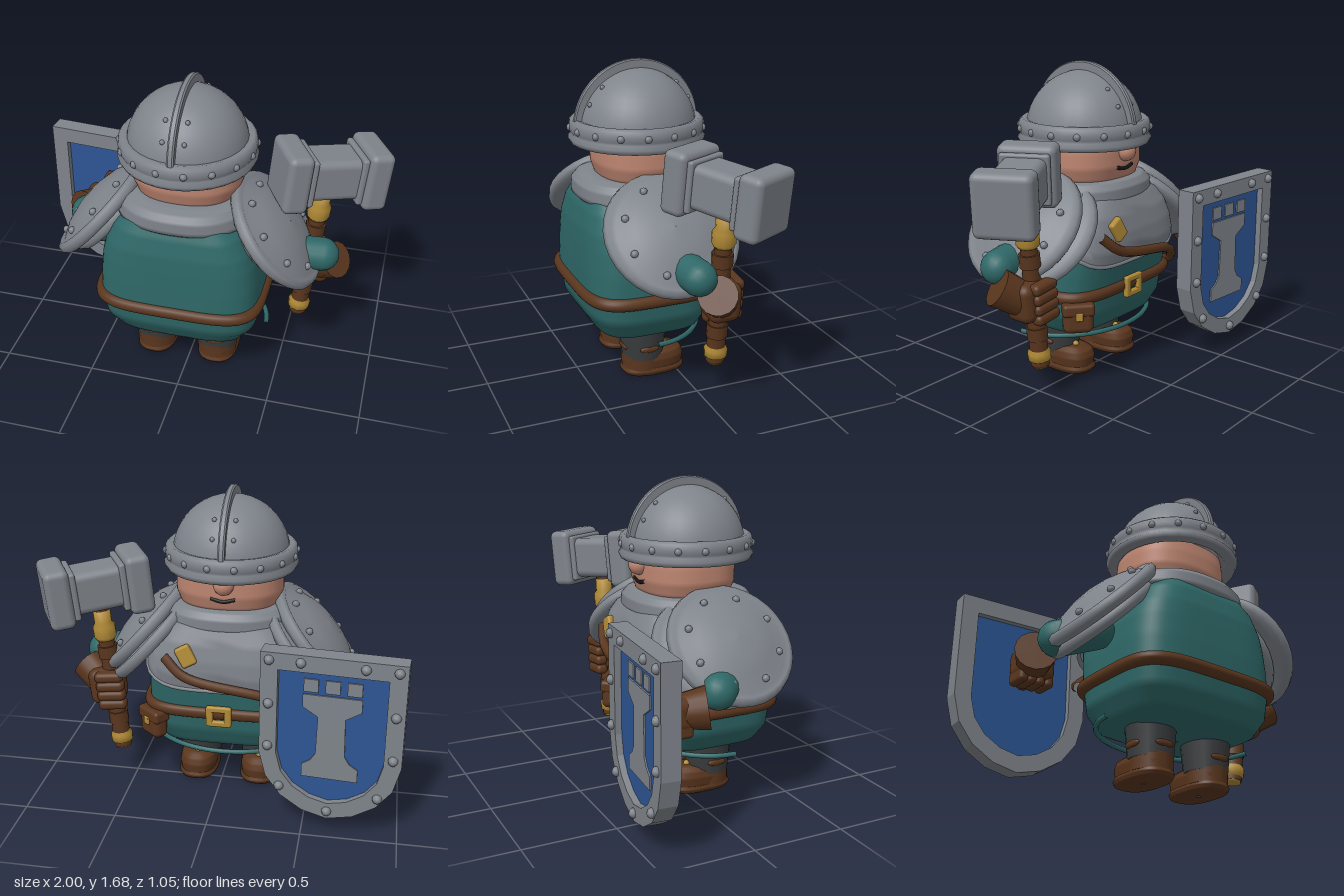
import * as THREE from 'three';
import { RoundedBoxGeometry } from 'three/addons/geometries/RoundedBoxGeometry.js';
import { ParametricGeometry } from 'three/addons/geometries/ParametricGeometry.js';

const colour = (name, hex, side = THREE.FrontSide) => {
  const m = new THREE.MeshStandardMaterial({ color: hex, side });
  m.name = name;
  return m;
};
const steel = colour('steel', 0x7f848b, THREE.DoubleSide);
const teal = colour('teal cloth', 0x2f6868);
const brown = colour('brown leather', 0x5a361e);
const skin = colour('skin', 0xbf8671);
const gold = colour('gold', 0xb08a36);
const blue = colour('blue', 0x2d5594, THREE.DoubleSide);
const grey = colour('dark trousers', 0x393c3e);
const black = colour('black', 0x151515);

const V = (x, y, z) => new THREE.Vector3(x, y, z);
const UP = V(0, 1, 0);

function part(parent, name, geo, mat, pos = [0, 0, 0], rot = [0, 0, 0], scale = [1, 1, 1]) {
  const m = new THREE.Mesh(geo, mat);
  m.name = name;
  m.position.set(...pos);
  m.rotation.set(...rot);
  m.scale.set(...scale);
  parent.add(m);
  return m;
}
function group(parent, name, pos = [0, 0, 0], rot = [0, 0, 0]) {
  const g = new THREE.Group();
  g.name = name;
  g.position.set(...pos);
  g.rotation.set(...rot);
  parent.add(g);
  return g;
}
const box = (w, h, d, r = 0.02) => new RoundedBoxGeometry(w, h, d, 3, r);
const ball = (r) => new THREE.SphereGeometry(r, 16, 12);
const lathe = (pts, seg = 32) => new THREE.LatheGeometry(pts.map(p => new THREE.Vector2(...p)), seg);
const rivet = (parent, pos, r = 0.02) => part(parent, 'rivet', new THREE.SphereGeometry(r, 8, 6), steel, pos);
const tube = (pts, r, seg = 32) => new THREE.TubeGeometry(new THREE.CatmullRomCurve3(pts), seg, r, 8);
// tapered limb between two points, rounded when the radii are equal
function limb(parent, name, a, b, r0, r1, mat) {
  const d = b.clone().sub(a), len = d.length();
  const geo = r0 === r1 ? new THREE.CapsuleGeometry(r0, len, 6, 16) : new THREE.CylinderGeometry(r1, r0, len, 16);
  const m = part(parent, name, geo, mat, a.clone().add(b).multiplyScalar(0.5).toArray());
  m.quaternion.setFromUnitVectors(UP, d.normalize());
}

// superellipse sections: [y, half width, half depth, centre z]
function section(rings, a, y, off, n) {
  let i = 0;
  while (i < rings.length - 2 && y > rings[i + 1][0]) i++;
  const [p, q] = [rings[i], rings[i + 1]];
  const t = THREE.MathUtils.clamp((y - p[0]) / (q[0] - p[0]), 0, 1);
  const mix = k => p[k] + (q[k] - p[k]) * t;
  const f = v => Math.sign(v) * Math.abs(v) ** (2 / n);
  return V((mix(1) + off) * f(Math.sin(a)), y, mix(3) - (mix(2) + off) * f(Math.cos(a)));
}
const loft = (rings, n) => new ParametricGeometry((u, v, t) => {
  const k = v * (rings.length - 1), i = Math.min(Math.floor(k), rings.length - 2);
  const y = rings[i][0] + (rings[i + 1][0] - rings[i][0]) * (k - i);
  t.copy(section(rings, -u * Math.PI * 2 + 0.01, y, 0, n));
}, 64, (rings.length - 1) * 3);

const BODY = [[0.245, 0.01, 0.01, 0.15], [0.255, 0.28, 0.21, 0.15], [0.29, 0.37, 0.28, 0.15], [0.37, 0.42, 0.325, 0.155],
  [0.5, 0.435, 0.345, 0.155], [0.62, 0.433, 0.355, 0.145], [0.75, 0.42, 0.365, 0.13], [0.83, 0.4, 0.36, 0.13],
  [0.93, 0.355, 0.34, 0.13], [1.0, 0.29, 0.31, 0.13], [1.04, 0.2, 0.22, 0.13]];
const onBody = (a, y, off) => section(BODY, a, y, off, 4.2);

function makeTorso(g) {
  part(g, 'tunic', loft(BODY, 4.2), teal);
  part(g, 'belt', new ParametricGeometry((u, v, t) =>
    t.copy(onBody(-u * Math.PI * 2 + 0.01, 0.47 + 0.07 * v, 0.03 * Math.sin(Math.PI * v) ** 0.4)), 64, 8), brown);
  part(g, 'hemRope', tube(Array.from({ length: 13 }, (_, i) => {
    const a = Math.PI * i / 12;
    return V(-0.455 * Math.cos(a), 0.27, 0.19 - 0.37 * Math.sin(a));
  }), 0.014), teal);
  // breastplate with a rounded lower edge
  const low = k => 0.66 + 0.2 * k * k;
  part(g, 'breastplate', new ParametricGeometry((u, v, t) => {
    const k = 1 - 2 * u, y = low(k) + (1.02 - low(k)) * v;
    t.copy(onBody(k * 1.6, y, 0.022));
  }, 32, 12), steel);
  part(g, 'breastplateEdge', tube(Array.from({ length: 17 }, (_, i) => {
    const k = i / 8 - 1;
    return onBody(k * 1.6, low(k), 0.02);
  }), 0.012), steel);
  part(g, 'collar', loft([[0.96, 0.33, 0.315, 0.13], [0.98, 0.365, 0.335, 0.13], [1.04, 0.355, 0.335, 0.13],
    [1.075, 0.32, 0.31, 0.13], [1.085, 0.27, 0.26, 0.13], [1.087, 0.2, 0.2, 0.13]], 2.4), steel);
  // chest strap and buckles
  part(g, 'chestStrap', tube([onBody(0.5, 0.84, 0.03), onBody(0.15, 0.75, 0.04), onBody(-0.3, 0.65, 0.045),
    onBody(-0.8, 0.55, 0.035), onBody(-1.2, 0.5, 0.03)], 0.027), brown);
  part(g, 'strapBuckle', box(0.085, 0.115, 0.04, 0.015), gold, [0.18, 0.86, -0.25], [0.12, 0, -0.5]);
  const buckle = group(g, 'beltBuckle', [0.01, 0.505, -0.222]);
  for (const s of [-1, 1]) {
    part(buckle, 'buckleSide', box(0.038, 0.115, 0.03, 0.01), gold, [s * 0.05, 0, 0]);
    part(buckle, 'buckleBar', box(0.13, 0.034, 0.03, 0.01), gold, [0, s * 0.042, 0]);
  }
  const pouch = group(g, 'pouch', [0.385, 0.41, -0.15], [0, -0.7, 0]);
  part(pouch, 'pouchBag', box(0.16, 0.16, 0.09, 0.035), brown);
  part(pouch, 'pouchFlap', box(0.17, 0.07, 0.1, 0.02), brown, [0, 0.05, 0]);
  part(pouch, 'pouchClasp', box(0.04, 0.045, 0.014, 0.005), gold, [0, 0.02, -0.05]);
}

function makeHead(g) {
  part(g, 'head', loft([[1.03, 0.22, 0.2, 0.11], [1.08, 0.265, 0.235, 0.105], [1.14, 0.288, 0.255, 0.105],
    [1.22, 0.288, 0.257, 0.105], [1.3, 0.28, 0.25, 0.105]], 2.4), skin);
  part(g, 'nose', ball(0.054), skin, [-0.005, 1.23, -0.155]);
  part(g, 'mouth', tube([V(-0.065, 1.15, -0.147), V(0, 1.137, -0.152), V(0.065, 1.15, -0.145)], 0.01, 12), black);
  const h = group(g, 'helmet', [0, 0, 0.125]);
  part(h, 'dome', new THREE.SphereGeometry(0.315, 32, 12, 0, Math.PI * 2, 0, Math.PI / 2), steel, [0, 1.32, 0]);
  part(h, 'rim', lathe([[0.26, 1.3], [0.3, 1.255], [0.35, 1.255], [0.362, 1.28], [0.345, 1.3], [0.353, 1.315],
    [0.357, 1.34], [0.352, 1.37], [0.335, 1.385], [0.3, 1.375]]), steel);
  const arc = new THREE.Shape().absarc(0, 0, 0.34, 0.05, Math.PI - 0.05, false);
  arc.absarc(0, 0, 0.29, Math.PI - 0.05, 0.05, true);
  part(h, 'crest', new THREE.ExtrudeGeometry(arc, { depth: 0.02, bevelSize: 0.006, bevelThickness: 0.008, bevelSegments: 1, curveSegments: 24 }),
    steel, [-0.01, 1.335, 0], [0, Math.PI / 2, 0]);
  for (let i = 0; i < 16; i++) {
    const a = (i + 0.5) * Math.PI / 8;
    rivet(h, [0.35 * Math.sin(a), 1.335, 0.35 * Math.cos(a)]);
  }
  for (const s of [-1, 1]) for (const t of [0.5, 0.85, 2.29, 2.64])
    rivet(h, [s * 0.055, 1.32 + 0.31 * Math.sin(t), 0.31 * Math.cos(t)], 0.013);
}

function makeShoulder(g, s) {
  const pad = (name, x, y, z, k) => {
    const p = group(g, name, [s * x, y, z], [0, 0, -s * 0.84]);
    p.scale.setScalar(k);
    part(p, 'plate', lathe([[0, 0.0], [0.28, -0.045], [0.32, -0.045], [0.342, -0.02], [0.335, 0.01], [0.31, 0.022],
      [0.285, 0.014], [0.2, 0.055], [0.1, 0.078], [0.001, 0.086]]), steel);
    for (let i = 0; i < 8; i++) {
      const a = (i + 0.5) * Math.PI / 4;
      rivet(p, [0.245 * Math.cos(a), 0.036, 0.245 * Math.sin(a)]);
    }
  };
  pad('shoulderPad', 0.485, 0.885, 0.135, 1);
  pad('innerShoulderPad', 0.43, 0.85, 0.06, 0.95);
}

function makeLeg(g, s) {
  const l = group(g, s > 0 ? 'leftLeg' : 'rightLeg', [s * 0.178, 0, 0]);
  part(l, 'trouserLeg', new THREE.CylinderGeometry(0.135, 0.115, 0.22, 16), grey, [0, 0.21, 0.17]);
  part(l, 'bootAnkle', new THREE.CylinderGeometry(0.112, 0.11, 0.09, 16), brown, [0, 0.08, 0.175]);
  part(l, 'bootFoot', loft([[0.035, 0.1, 0.165, 0.115], [0.08, 0.108, 0.17, 0.113], [0.115, 0.1, 0.16, 0.113],
    [0.135, 0.075, 0.13, 0.115], [0.14, 0.01, 0.01, 0.12]], 2.6), brown);
  part(l, 'bootSole', loft([[0, 0.01, 0.01, 0.115], [0.002, 0.105, 0.165, 0.115], [0.02, 0.113, 0.177, 0.115],
    [0.038, 0.108, 0.17, 0.115], [0.04, 0.01, 0.01, 0.115]], 2.6), brown);
  part(l, 'bootStud', ball(0.018), gold, [0, 0.14, 0.045]);
  part(l, 'backPatch', ball(0.05), brown, [0, 0.165, 0.28], [0, 0, 0], [1.1, 0.4, 0.3]);
  part(l, 'sidePatch', ball(0.05), brown, [s * 0.112, 0.165, 0.17], [0, 0, 0], [0.3, 0.4, 1.1]);
}

function makeHammer(root) {
  const shaft = group(root, 'hammerHandle', [0.605, 0.6, -0.07], [0, 0, -0.11]);
  part(shaft, 'shaft', new THREE.CylinderGeometry(0.042, 0.05, 0.9, 12), brown, [0, 0.05, 0]);
  for (const y of [-0.22, 0.18]) part(shaft, 'grip', new THREE.CylinderGeometry(0.055, 0.055, 0.07, 12), brown, [0, y, 0]);
  part(shaft, 'pommel', lathe([[0, -0.41], [0.045, -0.41], [0.045, -0.39], [0.035, -0.385], [0.06, -0.37], [0.062, -0.33],
    [0.048, -0.31], [0.048, -0.28], [0, -0.28]], 12), gold);
  part(shaft, 'topCap', lathe([[0, 0.25], [0.05, 0.25], [0.062, 0.27], [0.062, 0.33], [0.048, 0.35], [0.048, 0.42], [0, 0.42]], 12), gold);
  const h = group(root, 'hammerHead', [0.68, 1.15, -0.055], [0, 0.49, -0.1]);
  part(h, 'core', box(0.42, 0.23, 0.23, 0.04), steel);
  for (const s of [-1, 1]) {
    part(h, 'strikingBlock', box(0.135, 0.325, 0.305, 0.035), steel, [s * 0.217, 0, 0]);
    part(h, 'coreCollar', box(0.035, 0.265, 0.26, 0.014), steel, [s * 0.135, 0, 0]);
  }
}

function makeArms(root) {
  // arm that grips the hammer
  const r = group(root, 'hammerArm');
  limb(r, 'sleeve', V(0.5, 0.74, 0.12), V(0.69, 0.725, 0.085), 0.09, 0.09, teal);
  limb(r, 'gauntletCuff', V(0.765, 0.655, 0.02), V(0.65, 0.57, -0.05), 0.1, 0.09, brown);
  part(r, 'fist', box(0.19, 0.21, 0.17, 0.05), brown, [0.635, 0.575, -0.06], [0, 0, -0.11]);
  for (let i = 0; i < 4; i++)
    part(r, 'finger', box(0.16, 0.058, 0.07, 0.025), brown, [0.588 + i * 0.006, 0.49 + i * 0.054, -0.14], [0, 0, -0.11]);
  // arm that carries the shield
  const l = group(root, 'shieldArm');
  limb(l, 'sleeve', V(-0.52, 0.73, 0.12), V(-0.66, 0.7, -0.02), 0.095, 0.095, teal);
  limb(l, 'gauntletCuff', V(-0.72, 0.65, -0.11), V(-0.66, 0.63, -0.24), 0.11, 0.085, brown);
  part(l, 'fist', box(0.21, 0.17, 0.16, 0.05), brown, [-0.65, 0.63, -0.26]);
  for (let i = 0; i < 4; i++)
    part(l, 'finger', box(0.05, 0.08, 0.13, 0.022), brown, [-0.725 + i * 0.05, 0.555, -0.26]);
  part(l, 'shieldGrip', box(0.06, 0.22, 0.08, 0.02), brown, [-0.64, 0.65, -0.35]);
}

function shieldOutline(w, top, side, bottom, Type) {
  const h = side - bottom, half = [[w, top], [w, side], [w * 0.9, side - h * 0.4], [w * 0.68, side - h * 0.7], [w * 0.36, side - h * 0.91]];
  const pts = [...half, [0, bottom], ...half.map(([x, y]) => [-x, y]).reverse()];
  return new Type(pts.map(p => new THREE.Vector2(...p)));
}
function makeShield(root) {
  const g = group(root, 'shield', [-0.635, 0, -0.415], [0, -0.09, 0]);
  const frame = shieldOutline(0.365, 1.0, 0.44, 0.09, THREE.Shape);
  frame.holes.push(shieldOutline(0.275, 0.91, 0.44, 0.18, THREE.Path));
  part(g, 'shieldFrame', new THREE.ExtrudeGeometry(frame, { depth: 0.1, bevelEnabled: false }), steel, [0, 0, -0.05]);
  part(g, 'shieldPanel', new THREE.ExtrudeGeometry(shieldOutline(0.285, 0.92, 0.44, 0.17, THREE.Shape),
    { depth: 0.03, bevelEnabled: false }), blue, [0, 0, -0.015]);
  // tower device on the panel
  const half = [[0.15, 0.78], [0.15, 0.71], [0.07, 0.66], [0.075, 0.45], [0.1, 0.41], [0.145, 0.38], [0.145, 0.31]];
  const shapes = [half.concat(half.map(([x, y]) => [-x, y]).reverse())];
  for (const x of [-0.11, 0, 0.11]) shapes.push([[x - 0.037, 0.795], [x + 0.037, 0.795], [x + 0.037, 0.865], [x - 0.037, 0.865]]);
  for (const s of shapes)
    part(g, 'towerDevice', new THREE.ExtrudeGeometry(new THREE.Shape(s.map(p => new THREE.Vector2(...p))),
      { depth: 0.008, bevelEnabled: false }), steel, [0, 0, -0.023]);
  for (const s of [-1, 1]) for (const [x, y] of [[0.32, 0.96], [0.16, 0.96], [0.32, 0.72], [0.32, 0.48], [0.255, 0.25]])
    rivet(g, [s * x, y, -0.052], 0.026);
  rivet(g, [0, 0.135, -0.052], 0.026);
}

export function createModel() {
  const root = new THREE.Group();
  root.name = 'armouredWarrior';
  const body = group(root, 'body', [-0.03, 0, 0]);
  makeTorso(body);
  makeHead(body);
  for (const s of [-1, 1]) {
    makeShoulder(body, s);
    makeLeg(body, s);
  }
  makeArms(root);
  makeHammer(root);
  makeShield(root);
  return root;
}
